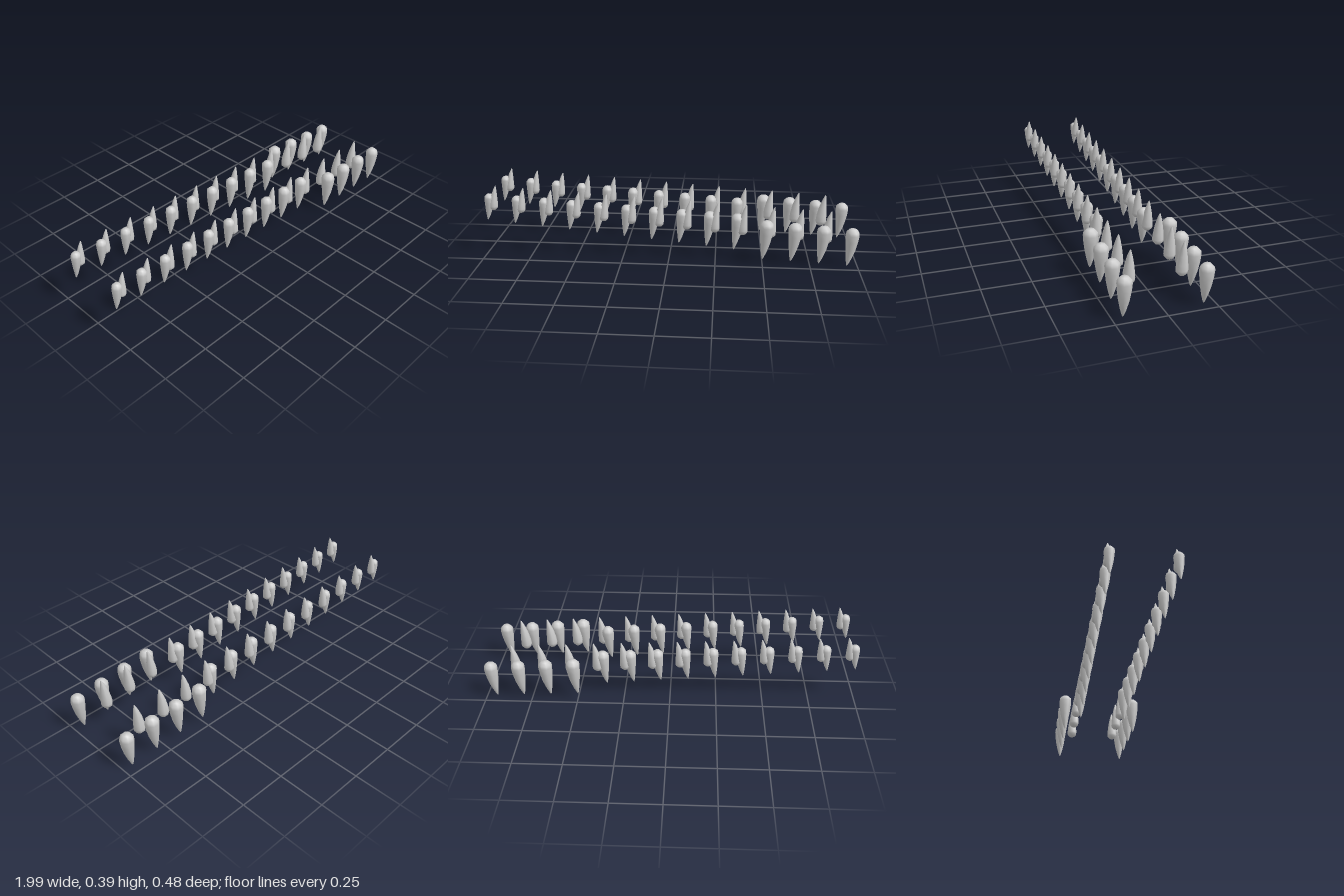
import * as THREE from 'three';

const material = new THREE.MeshStandardMaterial({ color: 0xcccccc });
const lerp = THREE.MathUtils.lerp;

// Pointed tooth: tip at y = 0, rounded root at y = height, tip swept towards -x
function toothGeometry(radius, height, lean) {
  const profile = [
    [0, 0], [0.14, 0.04], [0.42, 0.2], [0.72, 0.43], [0.92, 0.67],
    [1, 0.84], [0.93, 0.92], [0.52, 0.99], [0, 1],
  ].map(([r, y]) => new THREE.Vector2(r * radius, y * height));
  const geometry = new THREE.LatheGeometry(profile, 8, Math.PI / 8);
  const pos = geometry.attributes.position;
  for (let i = 0; i < pos.count; i++) {
    const t = 1 - pos.getY(i) / height;
    pos.setX(i, pos.getX(i) + lean * (0.25 - t * t));
  }
  geometry.computeVertexNormals();
  // Weld the shading across the lathe seam
  const n = geometry.attributes.normal, rows = profile.length, last = 8 * rows;
  for (let j = 0; j < rows; j++) {
    const a = new THREE.Vector3().fromBufferAttribute(n, j);
    a.add(new THREE.Vector3().fromBufferAttribute(n, last + j)).normalize();
    n.setXYZ(j, a.x, a.y, a.z);
    n.setXYZ(last + j, a.x, a.y, a.z);
  }
  return geometry;
}

// One tooth on each side of the jaw
function addPair(parent, name, x, z, low, high, radius, pointsUp) {
  const geometry = toothGeometry(radius, high - low, 0.018);
  if (pointsUp) geometry.rotateZ(Math.PI);
  for (const side of [1, -1]) {
    const tooth = new THREE.Mesh(geometry, material);
    tooth.name = name + (side > 0 ? 'Front' : 'Back');
    tooth.position.set(x, pointsUp ? high : low, side * z);
    parent.add(tooth);
  }
}

export function createModel() {
  const model = new THREE.Group();
  model.name = 'teeth';
  const upper = new THREE.Group();
  upper.name = 'upperTeeth';
  const lower = new THREE.Group();
  lower.name = 'lowerTeeth';
  model.add(upper, lower);

  // Upper row: ten small teeth, growing along +x
  for (let i = 0; i < 10; i++) {
    const t = i / 9;
    addPair(upper, 'upperTooth', lerp(-0.972, 0.36, t), lerp(0.157, 0.128, t),
      lerp(0.195, 0.05, t), lerp(0.345, 0.255, t), lerp(0.026, 0.034, t), false);
  }
  // Upper row: four large teeth set further out
  for (let i = 0; i < 4; i++) {
    const t = i / 3;
    addPair(upper, 'largeTooth', lerp(0.512, 0.958, t), lerp(0.207, 0.197, t),
      lerp(0.033, 0.004, t), lerp(0.25, 0.215, t), lerp(0.038, 0.036, t), false);
  }
  // Lower row: thirteen upright teeth
  for (let i = 0; i < 13; i++) {
    const t = i / 12;
    addPair(lower, 'lowerTooth', lerp(-0.942, 0.843, t), lerp(0.159, 0.131, t),
      lerp(0.256, 0.105, t), lerp(0.393, 0.286, t), lerp(0.023, 0.03, t), true);
  }
  return model;
}
